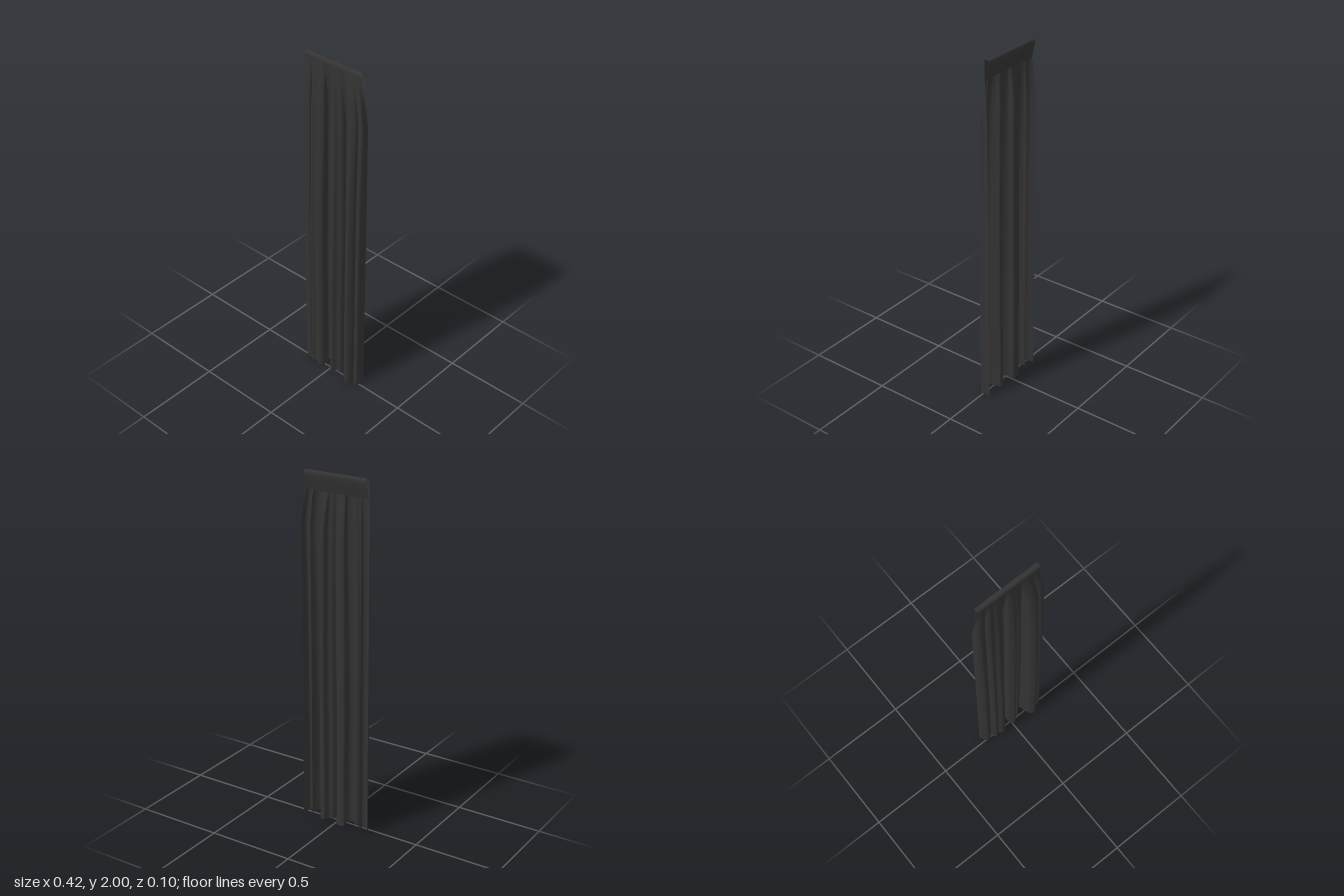
import * as THREE from 'three';

const fabric = new THREE.MeshStandardMaterial({ color: 0x333333, side: THREE.DoubleSide });

// Piecewise linear lookup through [y, value] pairs, highest y first.
function keyed(keys, y) {
  for (let i = 1; i < keys.length; i++) {
    const [y0, v0] = keys[i - 1], [y1, v1] = keys[i];
    if (y >= y1) return THREE.MathUtils.mapLinear(y, y0, y1, v0, v1);
  }
  return keys[keys.length - 1][1];
}

// Smooth surface from rows of columns; point(u, v) returns [x, y, z].
function sheet(name, cols, rows, point) {
  const geo = new THREE.PlaneGeometry(1, 1, cols, rows);
  const pos = geo.attributes.position;
  for (let j = 0, n = 0; j <= rows; j++) {
    for (let i = 0; i <= cols; i++, n++) pos.setXYZ(n, ...point(i / cols, j / rows));
  }
  geo.computeVertexNormals();
  const mesh = new THREE.Mesh(geo, fabric);
  mesh.name = name;
  return mesh;
}

// Folds at the hem, from the right edge to the left edge, as [x, z].
const folds = new THREE.CatmullRomCurve3([
  [-0.21, -0.04], [-0.198, -0.01], [-0.178, 0.01], [-0.152, 0.002], [-0.148, -0.025],
  [-0.143, 0.0], [-0.125, 0.024], [-0.106, 0.01], [-0.08, 0.029], [-0.053, 0.015],
  [-0.052, -0.02], [-0.062, -0.042], [-0.04, -0.05], [-0.012, -0.042], [-0.012, -0.01],
  [0.005, 0.012], [0.022, 0.02], [0.034, 0.002], [0.044, -0.008], [0.054, 0.0],
  [0.068, -0.014], [0.074, -0.036], [0.098, -0.038], [0.108, -0.005], [0.122, 0.03],
  [0.152, 0.048], [0.172, 0.022], [0.174, -0.01], [0.182, 0.012], [0.202, 0.02],
  [0.211, 0.008], [0.205, -0.02], [0.209, -0.043],
].map(([x, z]) => new THREE.Vector3(x, 0, z)), false, 'centripetal');

// How far the folds open with height.
const spread = [[2, 0], [1.9, 0.35], [1.85, 0.6], [1.7, 1], [0, 1]];
const forward = [[2, 0.04], [1.95, 0.14], [1.85, 0.36], [1.7, 0.52], [1.2, 0.83], [0.6, 1], [0, 1]];
const backward = [[2, 0.03], [1.9, 0.25], [1.8, 0.65], [1.7, 0.95], [0, 1]];
const MID = -0.01;

export function createModel() {
  const group = new THREE.Group();
  group.name = 'curtain';

  // Hanging cloth: flat at the top, gathered into folds below
  const cols = 200;
  const samples = folds.getSpacedPoints(cols);
  group.add(sheet('foldedCloth', cols, 48, (u, v) => {
    const y = 1.987 - 1.98 * Math.pow(v, 1.35);
    const p = samples[Math.round(u * cols)];
    const depth = p.z - MID;
    const flatX = (u - 0.5) * 0.374;
    const inner = Math.sin(Math.PI * u);
    const sway = 0.004 * inner * Math.sin(y * 2.6 + u * 9) * Math.min(1, y);
    const x = THREE.MathUtils.lerp(flatX, p.x, keyed(spread, y)) + sway;
    return [x, y, MID + depth * keyed(depth > 0 ? forward : backward, y)];
  }));

  // Rod pocket: turned over the top and stitched down behind, open at the ends
  const pocket = new THREE.CatmullRomCurve3([
    [1.985, -0.01], [1.996, -0.015], [2, -0.026], [1.996, -0.037],
    [1.982, -0.041], [1.94, -0.033], [1.895, -0.021],
  ].map(([y, z]) => new THREE.Vector3(0, y, z)), false, 'centripetal');
  group.add(sheet('rodPocket', 32, 20, (u, v) => {
    const p = pocket.getPoint(v);
    const ripple = 0.0012 * Math.sin(u * 17) * Math.sin(Math.PI * v);
    return [(u - 0.5) * (0.374 + 0.02 * Math.max(0, v - 0.4)), Math.min(p.y, 2), p.z + ripple];
  }));

  // Hem: narrow turned-up band along the back of the bottom edge
  group.add(sheet('hem', cols, 1, (u, v) => {
    const p = samples[Math.round(u * cols)];
    return [p.x, 0.05 - 0.05 * v, p.z - 0.001];
  }));

  return group;
}
